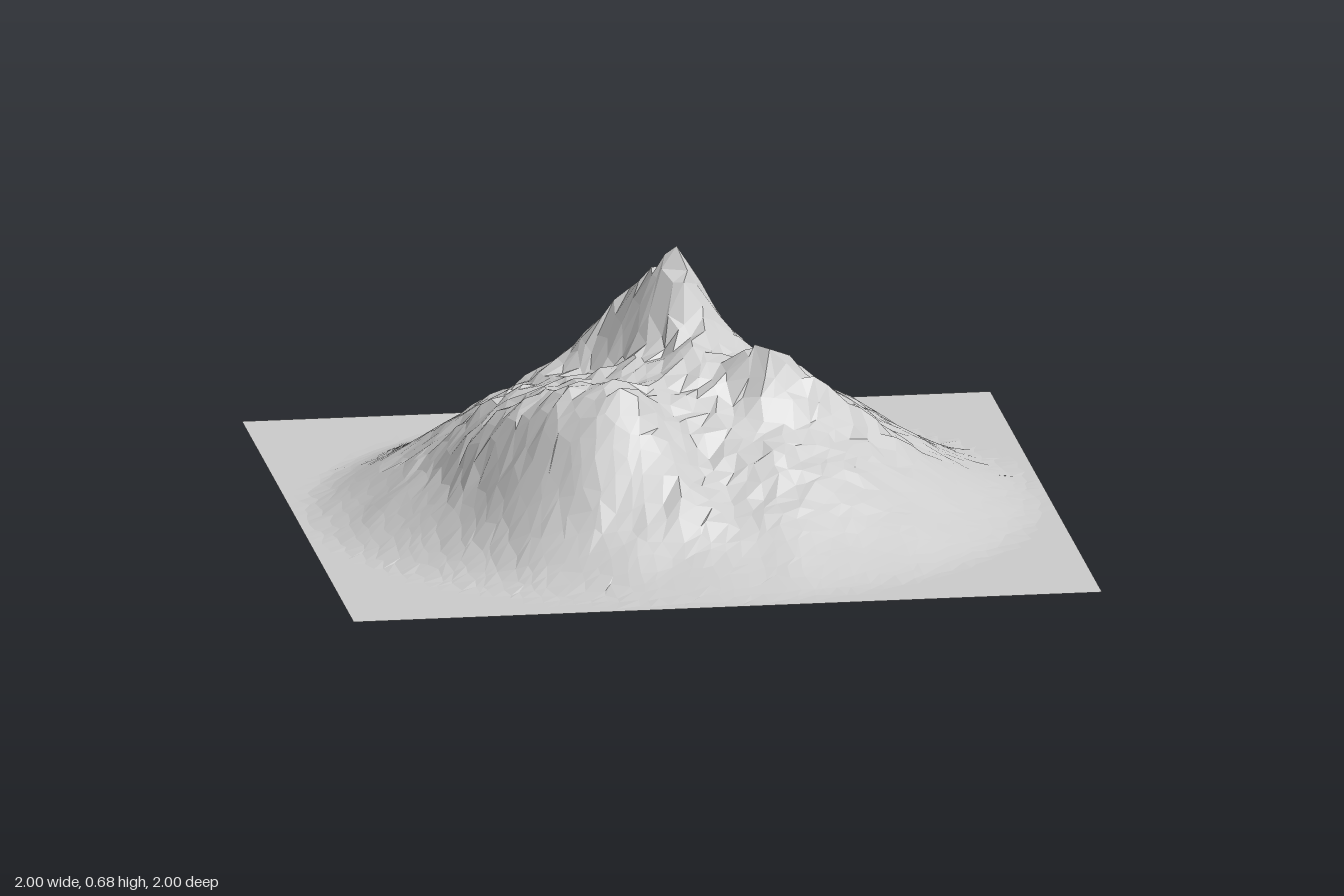
import * as THREE from 'three';

const CELLS = 50;
const { clamp, lerp, smoothstep } = THREE.MathUtils;

// Repeatable value in 0..1 for a lattice point
function hash(i, j, seed) {
  let n = Math.imul(i, 374761393) + Math.imul(j, 668265263) + Math.imul(seed, 974711);
  n = Math.imul(n ^ (n >>> 13), 1274126177);
  return ((n ^ (n >>> 16)) >>> 0) / 4294967295;
}

// Smooth value noise, -1..1
function noise(x, z, seed) {
  const i = Math.floor(x), j = Math.floor(z);
  const u = smoothstep(x - i, 0, 1), v = smoothstep(z - j, 0, 1);
  const near = lerp(hash(i, j, seed), hash(i + 1, j, seed), u);
  const far = lerp(hash(i, j + 1, seed), hash(i + 1, j + 1, seed), u);
  return lerp(near, far, v) * 2 - 1;
}

// Raised or sunken features along a segment a-b: height at a and b, radius, steepness
const SUMMIT = { a: [0.02, -0.12], b: [-0.07, -0.19], h: [0.275, 0.17], r: 0.12, p: 1.5 };
const FEATURES = [
  { a: [-0.28, 0.44], b: [-0.32, 0.42], h: [0.18, 0.18], r: 0.2, p: 2.2 },     // front shoulder
  { a: [-0.48, 0.05], b: [-0.48, 0.22], h: [0.05, 0.07], r: 0.11, p: 2.5 },    // shoulder ledge
  { a: [-0.17, 0.45], b: [-0.06, 0.64], h: [0.03, 0.02], r: 0.06, p: 2 },      // shoulder spur
  { a: [0.22, 0.19], b: [0.58, 0.18], h: [0.11, 0.03], r: 0.07, p: 1.8 },      // side ridge
  { a: [0.05, 0.14], b: [0.18, 0.18], h: [0.03, 0.03], r: 0.07, p: 2 },        // saddle crest
  { a: [0.05, 0.4], b: [0.08, 0.56], h: [-0.03, -0.03], r: 0.1, p: 2 },        // front gully
  { a: [-0.06, 0.02], b: [-0.21, -0.08], h: [-0.04, -0.06], r: 0.07, p: 2 },   // gully beside summit
];

function feature({ a, b, h, r, p }, x, z) {
  const dx = b[0] - a[0], dz = b[1] - a[1];
  const t = clamp(((x - a[0]) * dx + (z - a[1]) * dz) / (dx * dx + dz * dz), 0, 1);
  const d = Math.hypot(x - a[0] - t * dx, z - a[1] - t * dz);
  return lerp(h[0], h[1], t) * Math.exp(-Math.pow(d / r, p));
}

function heightAt(x, z) {
  // Round mound fading into the flat ground
  const radius = Math.hypot(x, z);
  const falloff = Math.max(0, 1 - (radius / 0.98) ** 2);
  let y = 0.43 * Math.pow(falloff, 1.76);
  for (const f of FEATURES) y += feature(f, x, z) * smoothstep(falloff, 0, 0.35);

  // Level off the shoulder plateau, then raise the summit above it
  if (y > 0.42) y = 0.42 + 0.07 * Math.tanh((y - 0.42) / 0.07);
  y += feature(SUMMIT, x, z);

  // Rocky roughness on the upper slopes, calmer on the front shoulder and at the tip
  const shoulder = Math.exp(-(((x + 0.33) / 0.22) ** 2) - ((z - 0.58) / 0.15) ** 2);
  const tip = Math.exp(-(((x - 0.02) ** 2 + (z + 0.12) ** 2) / 0.002));
  const rough = smoothstep(y, 0.06, 0.28) * (1 - 0.8 * shoulder) * (1 - 0.8 * tip);
  y += rough * (0.007 * noise(x * 7, z * 7, 1) + 0.01 * noise(x * 14, z * 14, 2)
    + 0.017 * noise(x * 28, z * 28, 3));

  // Broad unevenness on the lower slopes
  y += 0.007 * smoothstep(falloff, 0.05, 0.4) * noise(x * 9, z * 9, 4);
  return Math.max(0, y);
}

export function createModel() {
  const group = new THREE.Group();
  group.name = 'mountainTerrain';

  const geometry = new THREE.PlaneGeometry(2, 2, CELLS, CELLS).rotateX(-Math.PI / 2);
  const pos = geometry.attributes.position;
  const cell = 2 / CELLS;
  for (let k = 0; k < pos.count; k++) {
    const i = k % (CELLS + 1), j = Math.floor(k / (CELLS + 1));
    let x = pos.getX(k), z = pos.getZ(k);
    // Uneven facets inside the square, straight outer edges
    if (i > 0 && j > 0 && i < CELLS && j < CELLS) {
      x += (hash(i, j, 11) - 0.5) * cell * 0.75;
      z += (hash(i, j, 12) - 0.5) * cell * 0.75;
    }
    pos.setXYZ(k, x, heightAt(x, z), z);
  }
  geometry.computeVertexNormals();

  const material = new THREE.MeshStandardMaterial({
    color: 0xcccccc, flatShading: true, side: THREE.DoubleSide,
  });
  const terrain = new THREE.Mesh(geometry, material);
  terrain.name = 'mountainSurface';
  group.add(terrain);
  return group;
}
